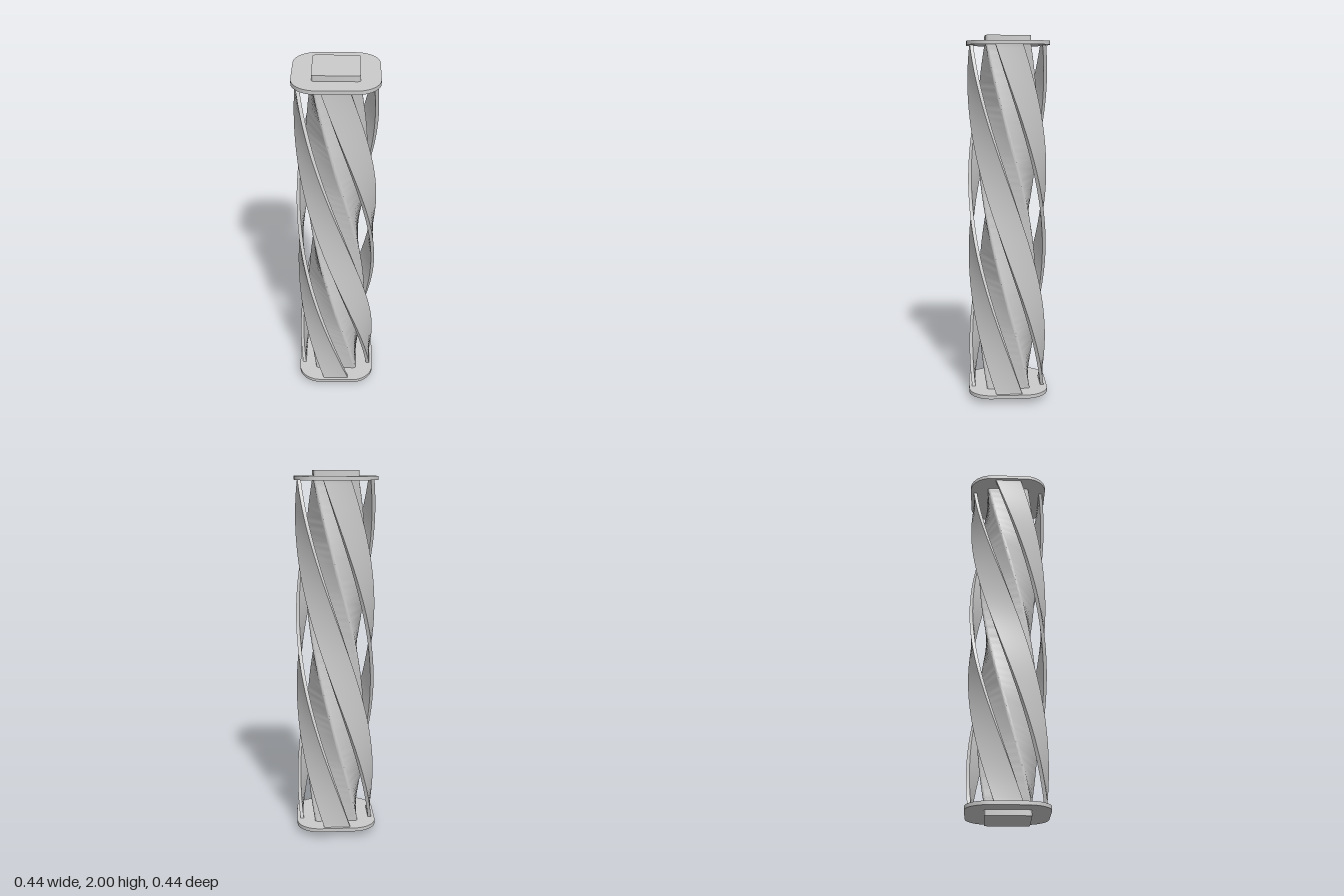
import * as THREE from 'three';
import { toCreasedNormals } from 'three/addons/utils/BufferGeometryUtils.js';

const BOTTOM = 0.05, TOP = 1.95, TWIST = -Math.PI;
const material = new THREE.MeshStandardMaterial({ color: 0xcccccc });

// Square outline of half-width h with corner radius r
function roundedSquare(h, r) {
  const s = new THREE.Shape();
  s.absarc(h - r, h - r, r, 0, Math.PI / 2);
  s.absarc(r - h, h - r, r, Math.PI / 2, Math.PI);
  s.absarc(r - h, r - h, r, Math.PI, Math.PI * 1.5);
  s.absarc(h - r, r - h, r, Math.PI * 1.5, Math.PI * 2);
  s.closePath();
  return s;
}

// Plan outline raised from y0 to y1
function prism(shape, y0, y1, steps = 1) {
  return new THREE.ExtrudeGeometry(shape, {
    depth: y1 - y0, steps, curveSegments: 6, bevelEnabled: false,
  }).rotateX(-Math.PI / 2).translate(0, y0, 0);
}

// Turn each vertex about the y axis in proportion to its height
function twist(geometry) {
  const p = geometry.attributes.position;
  const v = new THREE.Vector3(), up = new THREE.Vector3(0, 1, 0);
  for (let i = 0; i < p.count; i++) {
    v.fromBufferAttribute(p, i);
    v.applyAxisAngle(up, TWIST * (v.y - BOTTOM) / (TOP - BOTTOM));
    p.setXYZ(i, v.x, v.y, v.z);
  }
  return geometry;
}

export function createModel() {
  const model = new THREE.Group();
  model.name = 'twistedColumn';
  const add = (name, geometry) => {
    const mesh = new THREE.Mesh(toCreasedNormals(geometry, 0.6), material);
    mesh.name = name;
    model.add(mesh);
    return mesh;
  };

  // Twisted square core
  add('core', twist(prism(roundedSquare(0.12, 0.015), BOTTOM, TOP, 96)));

  // Four flat strips winding around the core
  const strip = new THREE.Shape([
    new THREE.Vector2(-0.072, -0.203), new THREE.Vector2(0.072, -0.203),
    new THREE.Vector2(0.072, -0.184), new THREE.Vector2(-0.072, -0.184),
  ]);
  const stripGeometry = twist(prism(strip, BOTTOM, TOP, 96));
  ['front', 'left', 'back', 'right'].forEach((side, i) => {
    add(side + 'Strip', stripGeometry).rotation.y = i * Math.PI / 2;
  });

  // End plates and the square stubs beyond them
  add('bottomPlate', prism(roundedSquare(0.22, 0.125), 0.03, BOTTOM));
  add('topPlate', prism(roundedSquare(0.22, 0.125), TOP, 1.97));
  add('bottomStub', prism(roundedSquare(0.12, 0.015), 0, 0.03));
  add('topStub', prism(roundedSquare(0.12, 0.015), 1.97, 2));
  return model;
}
